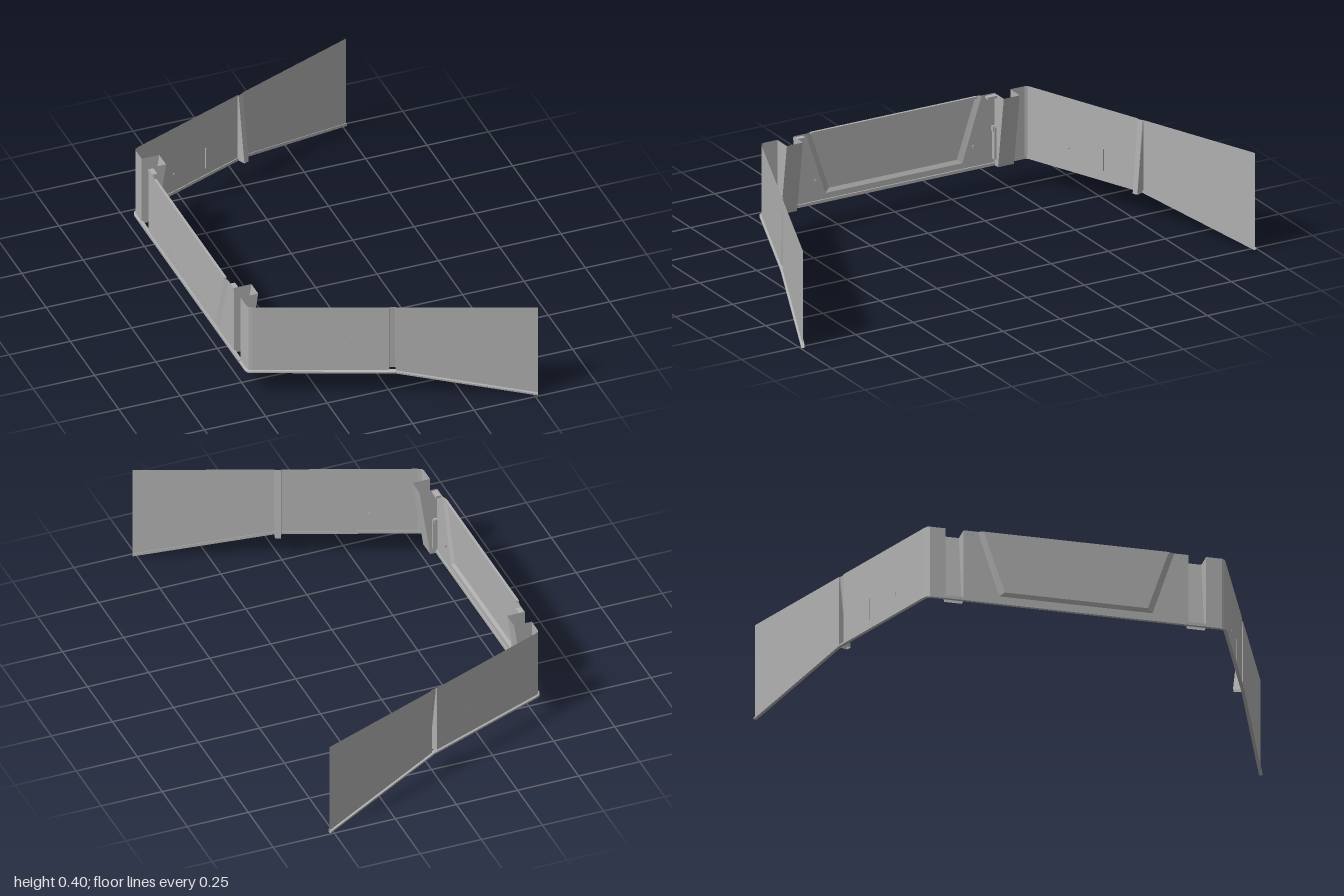
import * as THREE from 'three';

const TOP = 0.395, BASE = 0.1, BACK = -0.508;

export function createModel() {
  const model = new THREE.Group();
  model.name = 'bodyPanels';
  const steel = new THREE.MeshStandardMaterial({ color: 0xb0b0b0, side: THREE.DoubleSide });
  steel.name = 'greySteel';

  function add(name, geometry) {
    const mesh = new THREE.Mesh(geometry, steel);
    mesh.name = name;
    model.add(mesh);
    return mesh;
  }

  // Flat-shaded sheet stretched between consecutive polylines
  function sheet(name, ...lines) {
    const pos = [];
    for (let r = 0; r < lines.length - 1; r++) {
      const a = lines[r], b = lines[r + 1];
      for (let i = 0; i < a.length - 1; i++) {
        pos.push(...a[i], ...a[i + 1], ...b[i + 1], ...a[i], ...b[i + 1], ...b[i]);
      }
    }
    const g = new THREE.BufferGeometry();
    g.setAttribute('position', new THREE.Float32BufferAttribute(pos, 3));
    g.computeVertexNormals();
    return add(name, g);
  }

  function box(name, size, at, turn = 0) {
    const mesh = add(name, new THREE.BoxGeometry(...size));
    mesh.position.set(...at);
    mesh.rotation.y = turn;
  }

  const slope = 0.4 / 1.005;
  const angle = Math.atan(slope);
  const wallZ = (x) => 0.785 + slope * x;
  const inX = Math.sin(angle), inZ = -Math.cos(angle);

  for (const s of [1, -1]) {
    const side = s > 0 ? 'left' : 'right';
    const at = (x, y, z) => [x, y, s * z];
    // Point on the slanted wall, pushed inwards by d
    const onWall = (x, y, d = 0) => at(x + inX * d, y, wallZ(x) + inZ * d);

    // Rounded rear corner followed by the slanted wall
    const corner = [[BACK, 0.51], [BACK, 0.572], [-0.504, 0.582], [-0.49, wallZ(-0.49)]];
    const foot = corner.map(([x, z]) => at(x, BASE, z));
    const head = corner.map(([x, z]) => at(x, TOP, z));
    sheet(side + 'SideWall', [...foot, onWall(-0.01, BASE)], [...head, onWall(-0.01, TOP)]);

    // Pressed channel that deepens towards the bottom
    sheet(side + 'WallChannel',
      [onWall(-0.01, BASE), onWall(-0.008, BASE, 0.036), onWall(0.013, BASE, 0.036), onWall(0.015, BASE)],
      [onWall(-0.01, TOP), onWall(-0.008, TOP, 0.004), onWall(0.013, TOP, 0.004), onWall(0.015, TOP)]);

    // Front wing with falling lower edge
    sheet(side + 'FlaredWall',
      [onWall(0.015, BASE), onWall(0.515, 0.004)],
      [onWall(0.015, TOP), onWall(0.515, TOP)]);

    // Lower flange, a small closed section swept along the bottom edge
    const rail = [
      [BACK, 0.51, BASE, -1, 0], [BACK, 0.572, BASE, -1, 0], [-0.504, 0.582, BASE, -0.75, 0.7],
      [-0.49, wallZ(-0.49), BASE, -inX, -inZ], [0.01, wallZ(0.01), BASE, -inX, -inZ],
      [0.515, wallZ(0.515), 0, -inX, -inZ],
    ];
    const section = [[-0.006, 0], [0.007, 0], [0.007, 0.007], [-0.006, 0.012], [-0.006, 0]];
    sheet(side + 'LowerFlange', ...section.map(([o, h]) =>
      rail.map(([x, z, y, ox, oz]) => at(x + ox * o, y + h, z + oz * o))));

    // Rear post with a lamp recess whose inner plate leans inwards at the top
    const post = (y, depth) => [
      at(BACK, y, 0.51), at(depth, y, 0.51), at(depth, y, 0.44), at(BACK, y, 0.44), at(BACK, y, 0.425)];
    sheet(side + 'RearPost', post(BASE, -0.48), post(TOP, -0.436));

    // Tailgate hinge bar, latch and bracket
    box(side + 'HingeBar', [0.018, 0.13, 0.008], [-0.496, 0.195, s * 0.433]);
    box(side + 'Latch', [0.022, 0.01, 0.04], [-0.498, 0.385, s * 0.42]);
    box(side + 'LatchTab', [0.012, 0.02, 0.012], [-0.498, 0.255, s * 0.43]);
    box(side + 'TailgateStud', [0.006, 0.012, 0.008], [-0.504, 0.195, s * 0.345]);

    // Slot strip and stud on the inner wall
    const strip = onWall(-0.165, 0.185, 0.002), stud = onWall(-0.32, 0.19, 0.002);
    box(side + 'WallSlot', [0.005, 0.09, 0.006], strip, -s * angle);
    box(side + 'WallStud', [0.006, 0.006, 0.006], stud, -s * angle);
  }

  // Tailgate: flat border, bevel, and a centre pressed outwards
  const u = (x, zTop, zLow, y) => [[x, TOP, zTop], [x, y, zLow], [x, y, -zLow], [x, TOP, -zTop]];
  const border = u(BACK, 0.425, 0.425, 0.112);
  const outer = u(BACK, 0.385, 0.3, 0.135);
  const inner = u(-0.516, 0.362, 0.28, 0.15);
  sheet('tailgateBorder', border, outer);
  sheet('tailgateBevel', outer, inner);
  sheet('tailgateCentre', [inner[0], inner[3]], [inner[1], inner[2]]);
  box('tailgateTopEdge', [0.01, 0.008, 0.724], [-0.511, 0.391, 0]);

  // Sill under the tailgate
  box('rearSill', [0.013, 0.012, 1.02], [-0.509, 0.106, 0]);

  return model;
}
